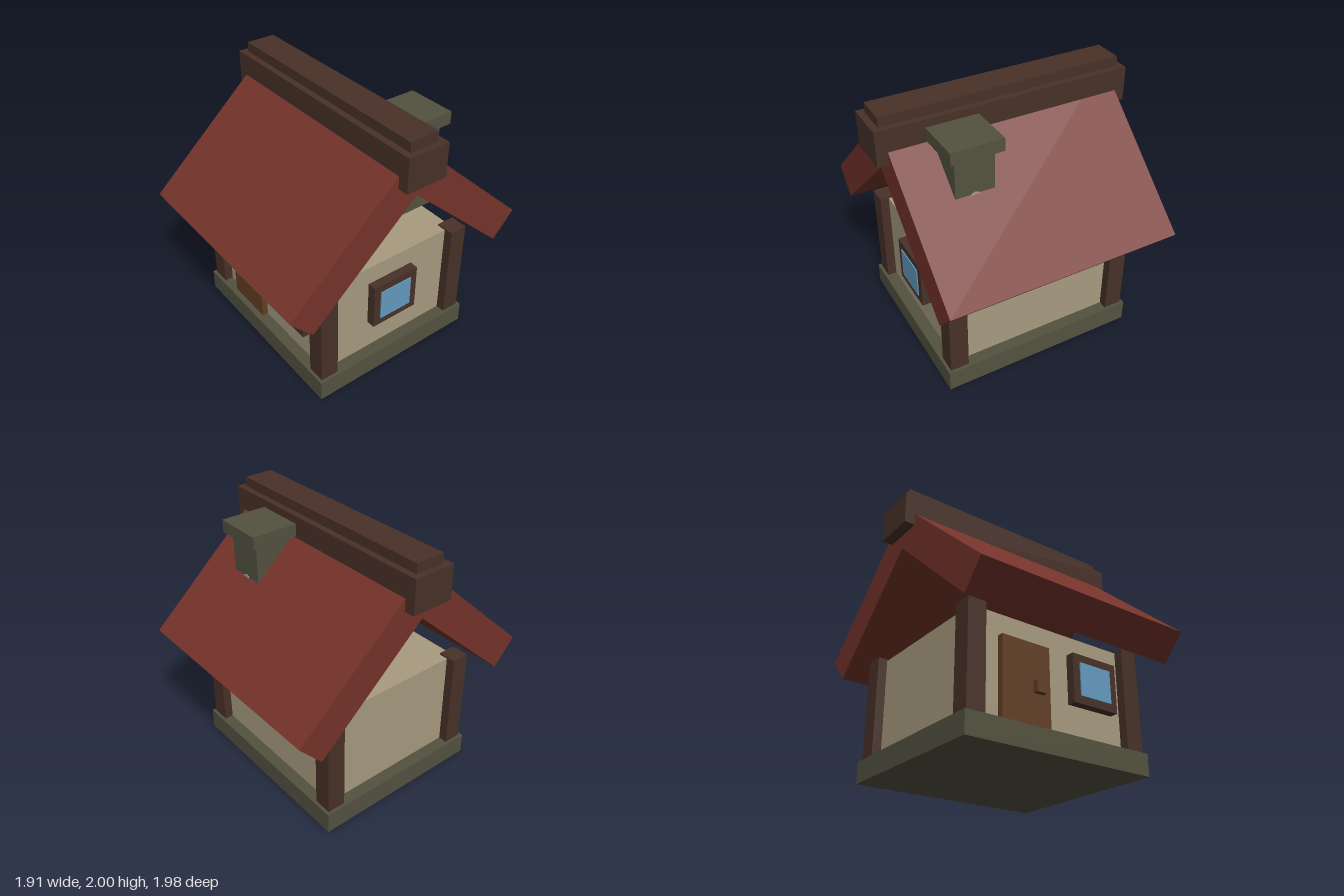
import * as THREE from 'three';

const mat = (name, color) => {
  const m = new THREE.MeshStandardMaterial({ color });
  m.name = name;
  return m;
};

export function createModel() {
  const plaster = mat('plaster', 0xa89b80);
  const timber = mat('dark timber', 0x483127);
  const stone = mat('grey stone', 0x535240);
  const roofRed = mat('roof red', 0x75332a);
  const doorWood = mat('door wood', 0x634025);
  const glass = mat('window glass', 0x649bc0);

  const house = new THREE.Group();
  house.name = 'cottage';

  const add = (parent, name, geometry, material) => {
    const mesh = new THREE.Mesh(geometry, material);
    mesh.name = name;
    parent.add(mesh);
    return mesh;
  };
  // Box given by its limits on each axis
  const box = (parent, name, material, [x0, x1], [y0, y1], [z0, z1]) => {
    const mesh = add(parent, name, new THREE.BoxGeometry(x1 - x0, y1 - y0, z1 - z0), material);
    mesh.position.set((x0 + x1) / 2, (y0 + y1) / 2, (z0 + z1) / 2);
    return mesh;
  };

  // Foundation and walls
  box(house, 'foundation', stone, [-0.76, 0.76], [0, 0.163], [-0.68, 0.68]);
  box(house, 'walls', plaster, [-0.667, 0.667], [0.163, 0.915], [-0.59, 0.59]);

  // Corner posts
  for (const sx of [-1, 1]) {
    for (const sz of [-1, 1]) {
      const post = add(house, 'cornerPost', new THREE.BoxGeometry(0.14, 0.765, 0.14), timber);
      post.position.set(sx * 0.667, 0.5455, sz * 0.587);
    }
  }

  // Door with square knob
  box(house, 'door', doorWood, [-0.455, -0.065], [0.163, 0.755], [0.58, 0.635]);
  box(house, 'doorKnob', doorWood, [-0.205, -0.125], [0.402, 0.482], [0.63, 0.675]);

  // Windows: timber surround with a thin pane on its face
  const addWindow = (name, wallDistance) => {
    const w = new THREE.Group();
    w.name = name;
    box(w, 'windowFrame', timber, [-0.195, 0.195], [0.41, 0.77], [wallDistance - 0.01, wallDistance + 0.068]);
    box(w, 'windowPane', glass, [-0.137, 0.137], [0.467, 0.71], [wallDistance + 0.068, wallDistance + 0.076]);
    house.add(w);
    return w;
  };
  addWindow('frontWindow', 0.588).position.x = 0.322;
  addWindow('sideWindow', 0.667).rotation.y = Math.PI / 2;

  // Thick gable roof, open at both ends
  const profile = new THREE.Shape([
    [0, 1.91], [-0.992, 1.012], [-0.82, 0.822], [0, 1.56], [0.82, 0.822], [0.992, 1.012],
  ].map(([z, y]) => new THREE.Vector2(z, y)));
  const roofGeo = new THREE.ExtrudeGeometry(profile, { depth: 1.75, bevelEnabled: false });
  roofGeo.translate(0, 0, -0.875).rotateY(Math.PI / 2);
  add(house, 'roof', roofGeo, roofRed);

  // Ridge beams
  box(house, 'ridgeBeam', timber, [-0.955, 0.955], [1.672, 1.927], [-0.162, 0.162]);
  box(house, 'ridgeCap', timber, [-0.908, 0.908], [1.927, 2], [-0.113, 0.113]);

  // Chimney on the back slope, with small set stones
  const chimney = new THREE.Group();
  chimney.name = 'chimney';
  house.add(chimney);
  box(chimney, 'chimneyStack', stone, [0.275, 0.565], [1.143, 1.78], [-0.47, -0.18]);
  box(chimney, 'chimneyCap', stone, [0.228, 0.612], [1.777, 1.87], [-0.519, -0.131]);
  const pebble = new THREE.CylinderGeometry(0.042, 0.042, 0.02, 8).rotateX(Math.PI / 2);
  const sideStone = add(chimney, 'setStone', pebble, plaster);
  sideStone.position.set(0.56, 1.328, -0.22);
  sideStone.rotation.y = Math.PI / 2;
  add(chimney, 'setStone', pebble, plaster).position.set(0.42, 1.46, -0.465);

  return house;
}
